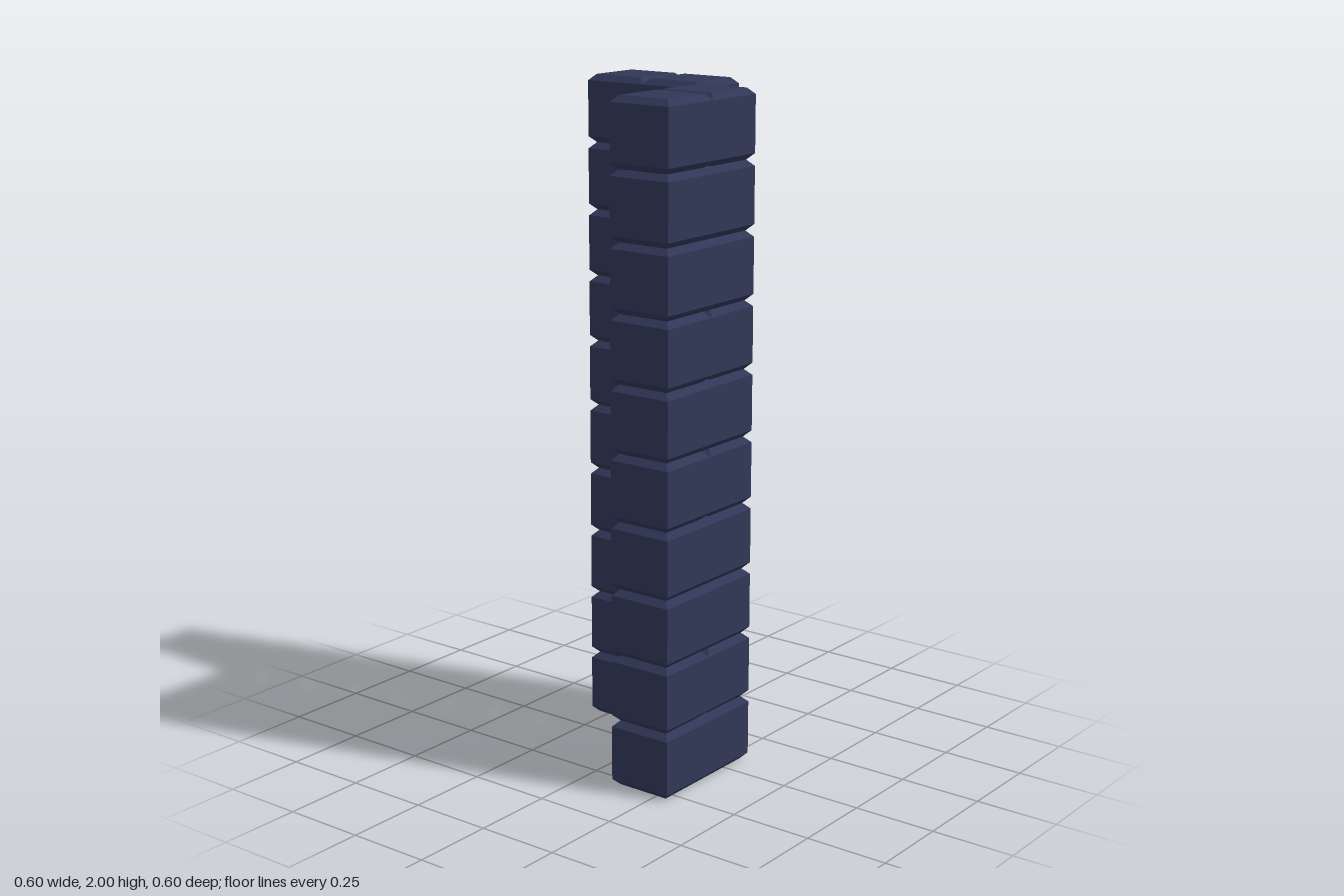
import * as THREE from 'three';

const SIZE = 0.2;    // width and height of one brick
const BEVEL = 0.018; // chamfer on top and bottom rims

// Brick with sharp upright edges and chamfered top and bottom rims
function brickGeometry(w, d) {
  const x = w / 2 - BEVEL, z = d / 2 - BEVEL;
  const shape = new THREE.Shape([
    new THREE.Vector2(-x, -z), new THREE.Vector2(x, -z),
    new THREE.Vector2(x, z), new THREE.Vector2(-x, z),
  ]);
  const geo = new THREE.ExtrudeGeometry(shape, {
    depth: SIZE - 2 * BEVEL, bevelEnabled: true, bevelSegments: 1,
    bevelSize: BEVEL, bevelThickness: BEVEL,
  });
  return geo.rotateX(-Math.PI / 2).translate(0, BEVEL, 0);
}

export function createModel() {
  const model = new THREE.Group();
  model.name = 'brickCorner';
  const material = new THREE.MeshStandardMaterial({ color: 0x303656, flatShading: true });

  const frontWall = new THREE.Group();
  frontWall.name = 'frontWall';
  const sideWall = new THREE.Group();
  sideWall.name = 'sideWall';
  model.add(frontWall, sideWall);

  const half = brickGeometry(SIZE, SIZE);
  const longX = brickGeometry(2 * SIZE, SIZE);
  const longZ = brickGeometry(SIZE, 2 * SIZE);

  const add = (wall, name, geo, x, y, z) => {
    const brick = new THREE.Mesh(geo, material);
    brick.name = name;
    brick.position.set(x, y, z);
    wall.add(brick);
  };

  // Ten courses; some use two half bricks in place of one long brick
  const splitCourses = [1, 4, 6, 9];
  for (let i = 0; i < 10; i++) {
    const y = i * SIZE;
    if (splitCourses.includes(i)) {
      for (const s of [-0.1, 0.1]) {
        add(frontWall, 'halfBrick', half, -0.1 + s, y, 0.2);
        add(sideWall, 'halfBrick', half, 0.2, y, -0.1 + s);
      }
    } else {
      add(frontWall, 'longBrick', longX, -0.1, y, 0.2);
      add(sideWall, 'longBrick', longZ, 0.2, y, -0.1);
    }
  }
  return model;
}
